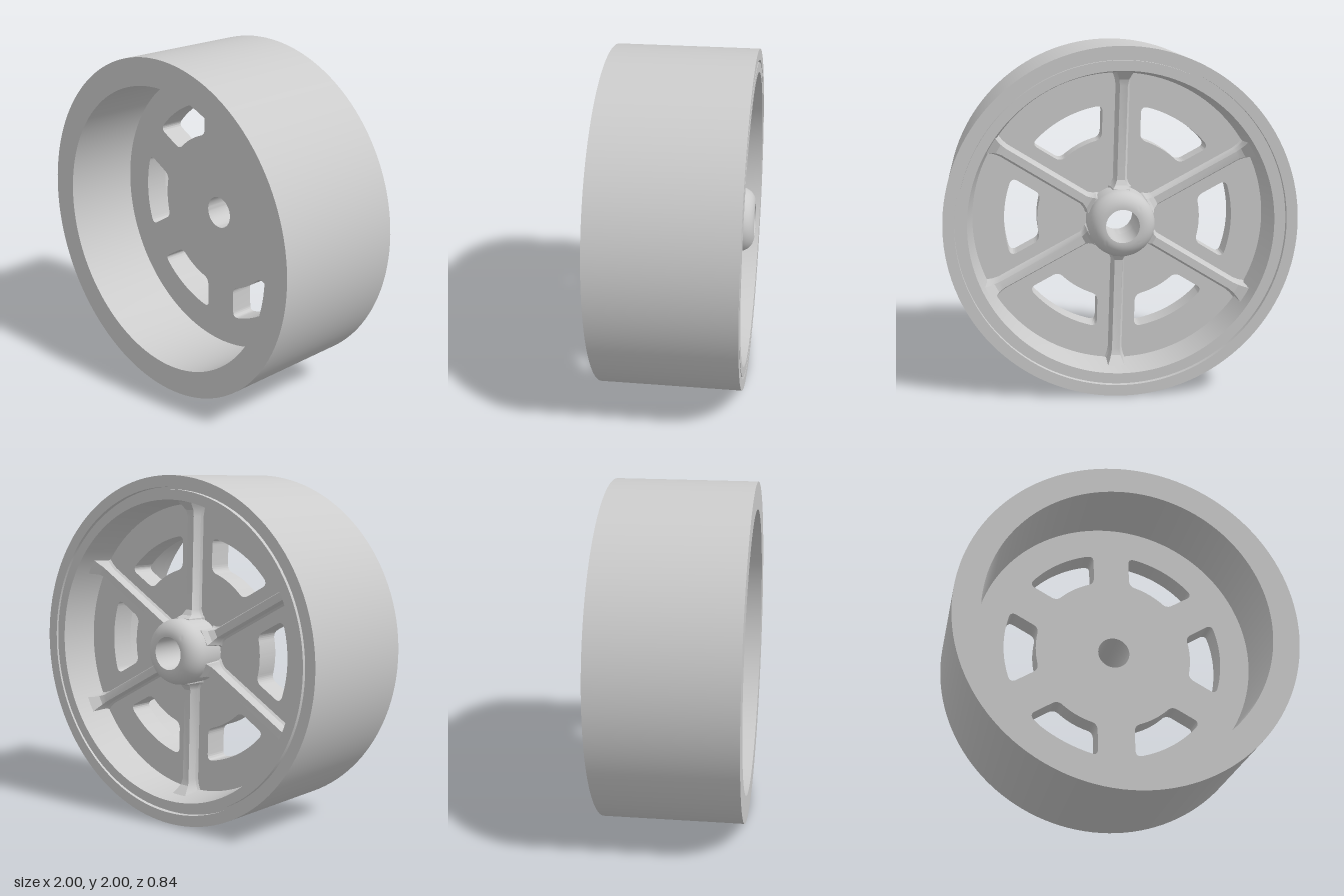
import * as THREE from 'three';
import { toCreasedNormals } from 'three/addons/utils/BufferGeometryUtils.js';

const WEB_BACK = -0.18, WEB_FRONT = -0.035, BORE = 0.095;
const TILT = THREE.MathUtils.degToRad(1.7);
const material = new THREE.MeshStandardMaterial({ color: 0xcccccc });

function part(name, geometry) {
  const mesh = new THREE.Mesh(toCreasedNormals(geometry, 0.5), material);
  mesh.name = name;
  return mesh;
}

// Profile of [radius, z] turned about the axle
function turned(points, segments) {
  const g = new THREE.LatheGeometry(points.map(([r, z]) => new THREE.Vector2(r, z)), segments);
  return g.rotateX(Math.PI / 2);
}

// Rounded window between two parallel-sided spokes, centred on angle a
function windowPath(a) {
  const ro = 0.66, ri = 0.47, half = 0.11, c = 0.04;
  const edge = (r) => Math.PI / 6 - Math.asin(half / r);
  const at = (r, t) => [r * Math.cos(a + t), r * Math.sin(a + t)];
  const to = edge(ro), ti = edge(ri);
  const p = new THREE.Path();
  p.moveTo(...at(ro, -to + c / ro));
  p.absarc(0, 0, ro, a - to + c / ro, a + to - c / ro, false);
  p.quadraticCurveTo(...at(ro, to), ...at(ro - c, edge(ro - c)));
  p.lineTo(...at(ri + c, edge(ri + c)));
  p.quadraticCurveTo(...at(ri, ti), ...at(ri, ti - c / ri));
  p.absarc(0, 0, ri, a + ti - c / ri, a - ti + c / ri, true);
  p.quadraticCurveTo(...at(ri, -ti), ...at(ri + c, -edge(ri + c)));
  p.lineTo(...at(ro - c, -edge(ro - c)));
  p.quadraticCurveTo(...at(ro, -to), ...at(ro, -to + c / ro));
  return p;
}

// Drafted rib along +x, rising from the back of the web and flaring at both ends
function ribGeometry() {
  const stations = [ // radius, height, extra half width
    [0.13, 0.13, 0.03], [0.19, 0.12, 0.025], [0.205, 0.085, 0.012], [0.235, 0.065, 0],
    [0.77, 0.065, 0], [0.805, 0.075, 0.006], [0.83, 0.10, 0.015], [0.86, 0.13, 0.03],
  ];
  const section = [[-0.045, -0.005], [-0.03, 0.012], [-0.022, 1], [0.022, 1], [0.03, 0.012], [0.045, -0.005]];
  const positions = [], index = [], n = section.length;
  for (const [r, h, flare] of stations) {
    for (const [y, k] of section) {
      positions.push(r, y + Math.sign(y) * flare, WEB_BACK - (k === 1 ? h : k));
    }
  }
  for (let i = 0; i < stations.length - 1; i++) {
    for (let j = 0; j < n - 1; j++) {
      const p = i * n + j, q = p + n;
      index.push(p, p + 1, q, p + 1, q + 1, q);
    }
  }
  const g = new THREE.BufferGeometry();
  g.setAttribute('position', new THREE.Float32BufferAttribute(positions, 3));
  g.setIndex(index);
  g.computeVertexNormals();
  return g;
}

export function createModel() {
  const wheel = new THREE.Group();
  wheel.name = 'wheel';
  wheel.position.y = 1;

  // Wide rim with a thin groove in its back face
  wheel.add(part('rim', turned([
    [1, -0.405], [1, 0.42], [0.84, 0.42], [0.84, WEB_BACK], [0.865, -0.405],
    [0.922, -0.405], [0.922, -0.375], [0.936, -0.375], [0.936, -0.405], [1, -0.405],
  ], 128)));

  // Web disc with axle bore and six windows
  const disc = new THREE.Shape().absarc(0, 0, 0.85, 0, Math.PI * 2, false);
  disc.holes.push(new THREE.Path().absarc(0, 0, BORE, 0, Math.PI * 2, true));
  for (let i = 0; i < 6; i++) disc.holes.push(windowPath(TILT + i * Math.PI / 3));
  const web = new THREE.ExtrudeGeometry(disc, {
    depth: WEB_FRONT - WEB_BACK, bevelEnabled: false, curveSegments: 32,
  });
  wheel.add(part('web', web.translate(0, 0, WEB_BACK)));

  // Rounded hub on the back of the web
  const hub = [[BORE, WEB_BACK], [BORE, -0.42]];
  for (let i = 0; i <= 10; i++) {
    const t = (i / 10) * Math.PI / 2;
    hub.push([0.1 + 0.09 * Math.sin(t), -0.33 - 0.09 * Math.cos(t)]);
  }
  hub.push([0.19, WEB_BACK]);
  wheel.add(part('hub', turned(hub, 48)));

  // Six ribs, one along each spoke
  const rib = ribGeometry();
  for (let i = 0; i < 6; i++) {
    const mesh = part('rib', rib);
    mesh.rotation.z = TILT + Math.PI / 6 + i * Math.PI / 3;
    wheel.add(mesh);
  }

  const model = new THREE.Group();
  model.name = 'wheelModel';
  model.add(wheel);
  return model;
}
